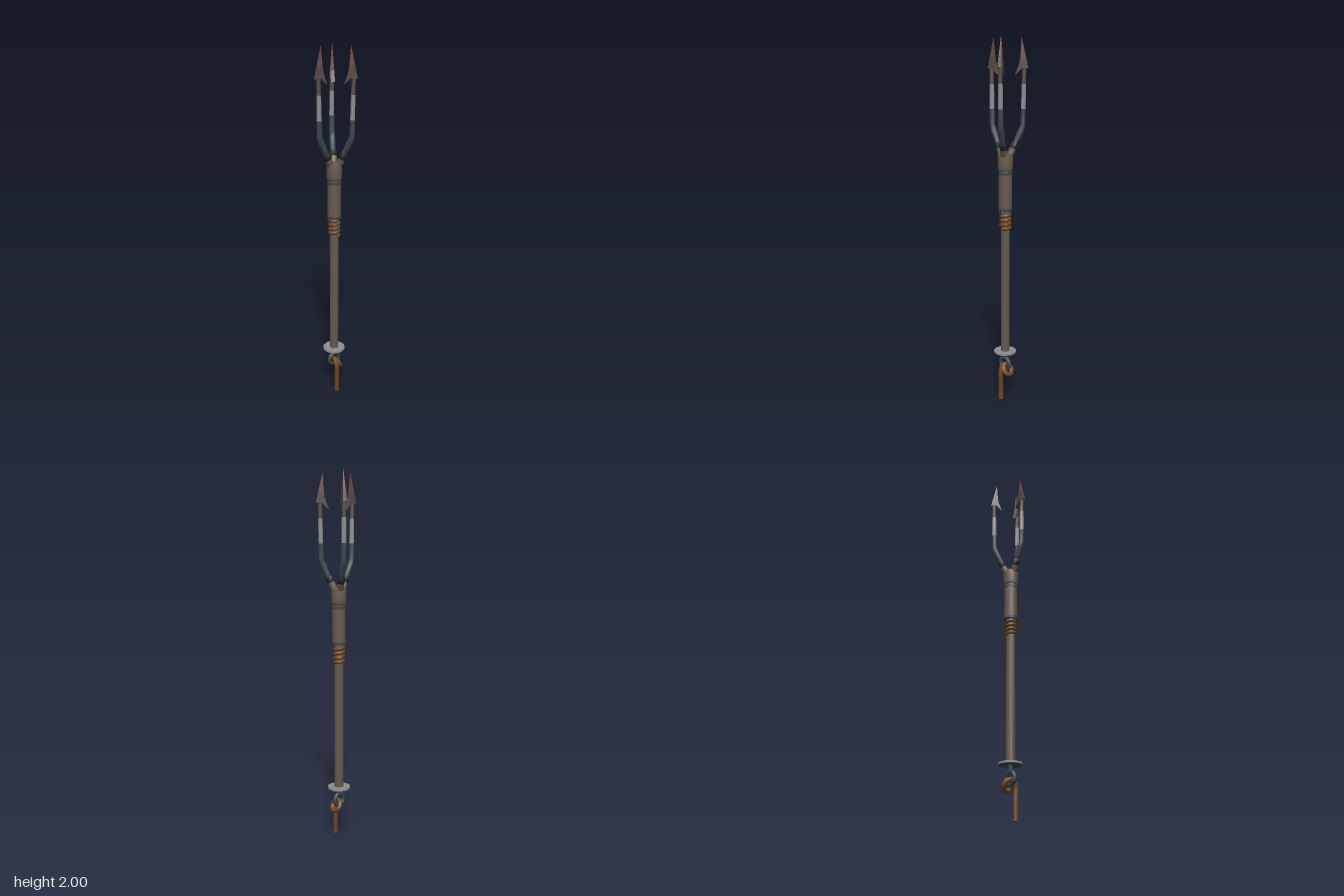
import * as THREE from 'three';

const mat = (name, color, double) => {
  const m = new THREE.MeshStandardMaterial({ color });
  m.name = name;
  if (double) m.side = THREE.DoubleSide;
  return m;
};

export function createModel() {
  const wood = mat('weathered wood', 0x675a4f);
  const rope = mat('brown rope', 0x6e4520);
  const iron = mat('blue iron', 0x3b464e);
  const black = mat('black collar', 0x25272a);
  const steel = mat('bare steel', 0x8d8e90);
  const rust = mat('rusted steel', 0x574c47);
  const stain = mat('red stained steel', 0x73494a);

  const root = new THREE.Group();
  root.name = 'trident';
  const body = new THREE.Group();
  body.name = 'body';
  body.position.x = 0.024;
  root.add(body);

  const add = (parent, name, geo, material) => {
    const mesh = new THREE.Mesh(geo, material);
    mesh.name = name;
    parent.add(mesh);
    return mesh;
  };
  // upright cylinder between two heights
  const post = (name, y0, y1, r0, r1, material, sides = 12) => {
    const mesh = add(body, name, new THREE.CylinderGeometry(r1, r0, y1 - y0, sides), material);
    mesh.position.y = (y0 + y1) / 2;
    return mesh;
  };
  // tapered rod following [x, y, radius] points from bottom to top
  const rod = (pts) => {
    const n = pts.length;
    const geo = new THREE.CylinderGeometry(1, 1, 1, 8, n - 1, true);
    const p = geo.attributes.position;
    for (let i = 0; i < p.count; i++) {
      const k = n - 1 - Math.round((0.5 - p.getY(i)) * (n - 1));
      const a = pts[Math.max(k - 1, 0)], b = pts[Math.min(k + 1, n - 1)];
      const t = new THREE.Vector2(b[0] - a[0], b[1] - a[1]).normalize();
      const [x, y, r] = pts[k];
      const u = p.getX(i) * r;
      p.setXYZ(i, x + t.y * u, y - t.x * u, p.getZ(i) * r);
    }
    geo.computeVertexNormals();
    return geo;
  };
  const tube = (pts, radius, segments) => new THREE.TubeGeometry(
    new THREE.CatmullRomCurve3(pts.map(q => new THREE.Vector3(...q))), segments, radius, 8);
  // flat blade section whose thickness narrows towards the point
  const blade = (pts) => {
    const shape = new THREE.Shape(pts.map(q => new THREE.Vector2(...q)));
    const geo = new THREE.ExtrudeGeometry(shape, { depth: 1, bevelEnabled: false });
    const p = geo.attributes.position;
    for (let i = 0; i < p.count; i++) {
      const width = 0.022 * Math.min(1, Math.max(0.05, (2 - p.getY(i)) / 0.15));
      p.setZ(i, (p.getZ(i) - 0.5) * width);
    }
    geo.computeVertexNormals();
    return geo;
  };

  // shaft, sleeve and head
  post('shaft', 0.28, 1.12, 0.025, 0.025, wood);
  post('sleeve', 1.09, 1.31, 0.037, 0.037, wood);
  post('lowerBand', 1.088, 1.103, 0.039, 0.039, iron);
  post('upperBand', 1.282, 1.298, 0.039, 0.039, iron);
  const head = [[0, 1.3], [0.036, 1.3], [0.041, 1.318], [0.042, 1.385], [0.034, 1.4], [0, 1.402]];
  add(body, 'head', new THREE.LatheGeometry(head.map(q => new THREE.Vector2(...q)), 12), wood);

  // rope binding below the sleeve
  const wrap = [];
  for (let i = 0; i <= 40; i++) {
    const a = i / 40 * Math.PI * 8;
    wrap.push([0.025 * Math.sin(a), 0.987 + 0.095 * i / 40, 0.025 * Math.cos(a)]);
  }
  add(body, 'ropeBinding', tube(wrap, 0.0095, 96), rope);

  // three barbed prongs
  for (const angle of [Math.PI, Math.PI / 3, -Math.PI / 3]) {
    const prong = new THREE.Group();
    prong.name = 'prong';
    prong.rotation.y = angle;
    body.add(prong);
    add(prong, 'socket', rod([[0.008, 1.355, 0.021], [0.047, 1.432, 0.019]]), wood);
    add(prong, 'collar', rod([[0.042, 1.424, 0.001], [0.042, 1.424, 0.021],
      [0.056, 1.452, 0.021], [0.056, 1.452, 0.001]].map((q, i) =>
      [q[0] + (i - 1.5) * 0.0005, q[1] + (i - 1.5) * 0.001, q[2]])), black);
    add(prong, 'bend', rod([[0.052, 1.445, 0.014], [0.086, 1.515, 0.018],
      [0.097, 1.545, 0.015], [0.099, 1.63, 0.0135]]), iron);
    add(prong, 'rod', rod([[0.099, 1.63, 0.0135], [0.101, 1.76, 0.012]]), steel);
    add(prong, 'neck', rod([[0.101, 1.76, 0.012], [0.103, 1.85, 0.011]]), rust);
    add(prong, 'barb', blade([[0.122, 1.84], [0.109, 1.9], [0.081, 1.9],
      [0.076, 1.865], [0.055, 1.808], [0.09, 1.842]].reverse()), rust);
    add(prong, 'tip', blade([[0.081, 1.9], [0.109, 1.9], [0.087, 2]]), stain);
  }

  // butt plate with its hanging eye
  post('buttPlate', 0.275, 0.285, 0.064, 0.064, steel, 10);
  post('plateUnderside', 0.273, 0.275, 0.063, 0.063, iron, 10);
  post('eyeStem', 0.235, 0.274, 0.011, 0.016, iron, 8);
  add(body, 'eyeRing', new THREE.TorusGeometry(0.034, 0.011, 8, 20), iron).position.y = 0.207;

  // rope knotted through the eye with a loose tail
  add(body, 'ropeTail', tube([[-0.003, 0, 0.031], [-0.003, 0.1, 0.031], [-0.003, 0.17, 0.031],
    [0, 0.202, 0.012], [0.008, 0.198, -0.014], [0.024, 0.172, -0.026], [0.036, 0.151, -0.006],
    [0.034, 0.156, 0.018], [0.016, 0.182, 0.026], [0.003, 0.204, 0.008]], 0.0135, 60), rope);
  const end = add(body, 'ropeEnd', new THREE.CircleGeometry(0.0135, 8), rope);
  end.rotation.x = Math.PI / 2;
  end.position.set(-0.003, 0, 0.031);

  return root;
}
